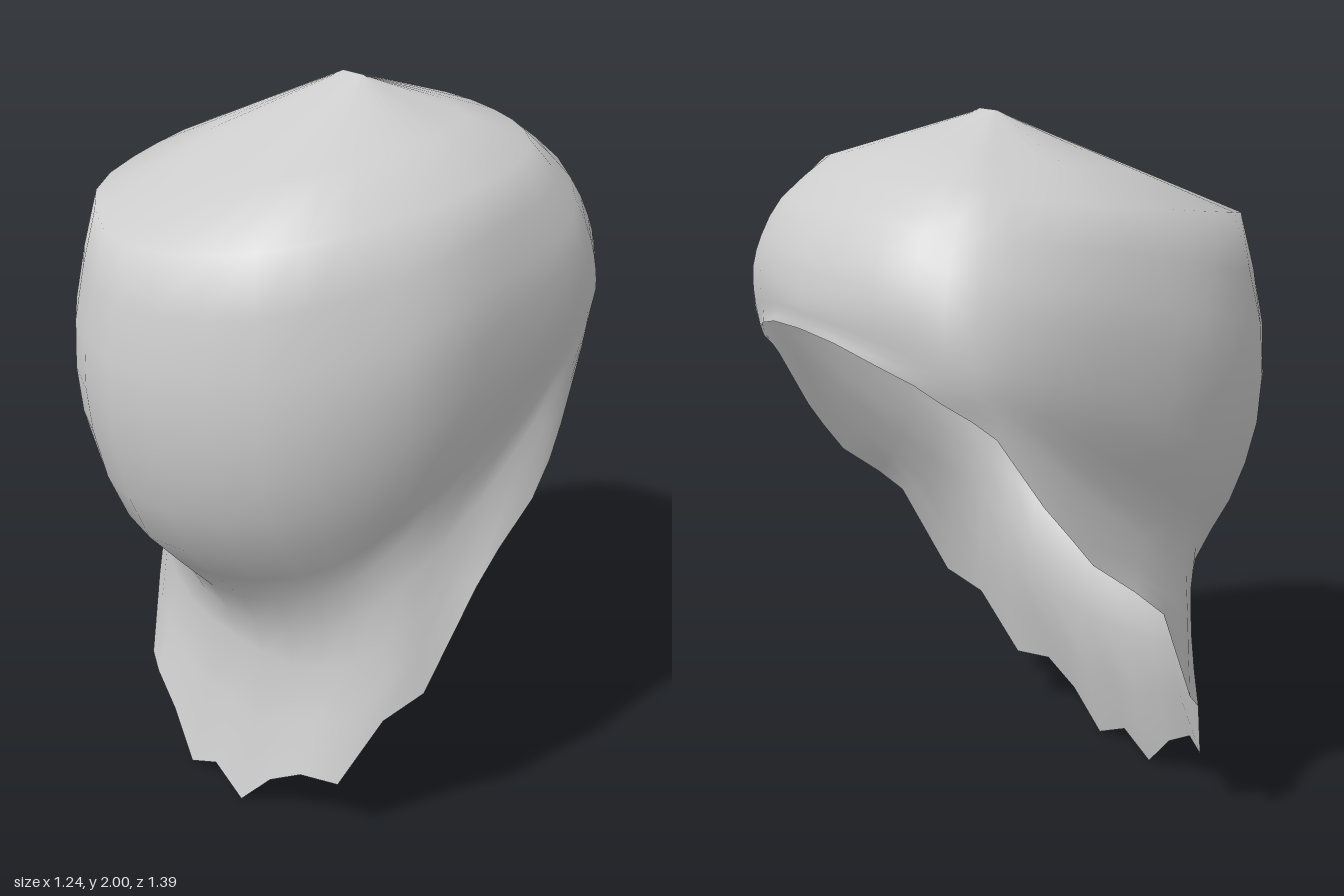
import * as THREE from 'three';

// Half columns from the front centre, round the +x side, to the back centre.
// Each runs from the crown edge down to just above the hem.
const columns = [
  [[0, 1.68, .62], [0, 1.4, .69], [0, 1.15, .68], [0, .87, .59], [0, .65, .39], [0, .45, .31]],
  [[.34, 1.72, .48], [.39, 1.42, .53], [.4, 1.15, .52], [.38, .92, .44], [.35, .74, .32], [.34, .5, .28]],
  [[.48, 1.77, .18], [.58, 1.5, .22], [.59, 1.25, .22], [.56, 1.06, .19], [.52, .92, .16], [.55, .7, .14]],
  [[.5, 1.81, -.1], [.59, 1.6, -.1], [.61, 1.4, -.1], [.6, 1.25, -.1], [.56, 1.1, -.13], [.58, 1.02, -.18]],
  [[.42, 1.84, -.34], [.52, 1.66, -.41], [.55, 1.53, -.44], [.555, 1.45, -.45], [.55, 1.39, -.46], [.54, 1.34, -.465]],
  [[.28, 1.88, -.42], [.34, 1.77, -.54], [.37, 1.67, -.59], [.385, 1.59, -.61], [.39, 1.52, -.61], [.385, 1.46, -.605]],
  [[0, 1.9, -.45], [0, 1.78, -.6], [0, 1.68, -.665], [0, 1.61, -.685], [0, 1.56, -.692], [0, 1.53, -.69]],
];

// Ragged tail at the front, then the arch of the opening up to the back.
const hem = [
  [0, .06, .4], [.12, 0, .4], [.23, .12, .38], [.34, .19, .36], [.44, .19, .31],
  [.52, .4, .22], [.58, .48, .13], [.62, .77, -.01], [.61, .85, -.1], [.6, .95, -.23],
  [.59, 1.04, -.3], [.57, 1.12, -.36], [.53, 1.3, -.47], [.49, 1.34, -.51], [.44, 1.38, -.56],
  [.38, 1.42, -.6], [.27, 1.46, -.65], [.15, 1.49, -.68], [0, 1.5, -.69],
];

// Turn a half ring into a full one by mirroring it in x.
function mirrorRing(half) {
  const right = half.map(p => new THREE.Vector3(...p));
  const left = right.slice(1, -1).reverse().map(p => new THREE.Vector3(-p.x, p.y, p.z));
  return [...right, ...left];
}

function createShell() {
  const around = 36, down = 12;
  const rings = columns[0].map((_, r) =>
    new THREE.CatmullRomCurve3(mirrorRing(columns.map(c => c[r])), true, 'catmullrom', .5));
  const rim = mirrorRing(hem);
  const positions = [], indices = [];
  const rows = down + 3;

  for (let i = 0; i < around; i++) {
    const path = rings.map(r => r.getPoint(i / around));
    // Straight slope from the short ridge at the top to the crown edge
    const top = new THREE.Vector3(path[0].x * .08, 2, -.11);
    const points = [top, top.clone().lerp(path[0], .6)];
    points.push(...new THREE.CatmullRomCurve3([...path, rim[i]]).getPoints(down));
    for (const p of points) positions.push(p.x, p.y, p.z);
  }
  for (let i = 0; i < around; i++) {
    const next = (i + 1) % around;
    for (let j = 0; j < rows - 1; j++) {
      const a = i * rows + j, b = next * rows + j;
      indices.push(a, a + 1, b, b, a + 1, b + 1);
    }
  }
  const geometry = new THREE.BufferGeometry();
  geometry.setAttribute('position', new THREE.Float32BufferAttribute(positions, 3));
  geometry.setIndex(indices);
  geometry.computeVertexNormals();
  return geometry;
}

export function createModel() {
  const grey = new THREE.MeshStandardMaterial({ color: 0xcccccc, side: THREE.DoubleSide });
  grey.name = 'light grey';
  const hair = new THREE.Mesh(createShell(), grey);
  hair.name = 'hairShell';
  const model = new THREE.Group();
  model.name = 'hair';
  model.add(hair);
  return model;
}
